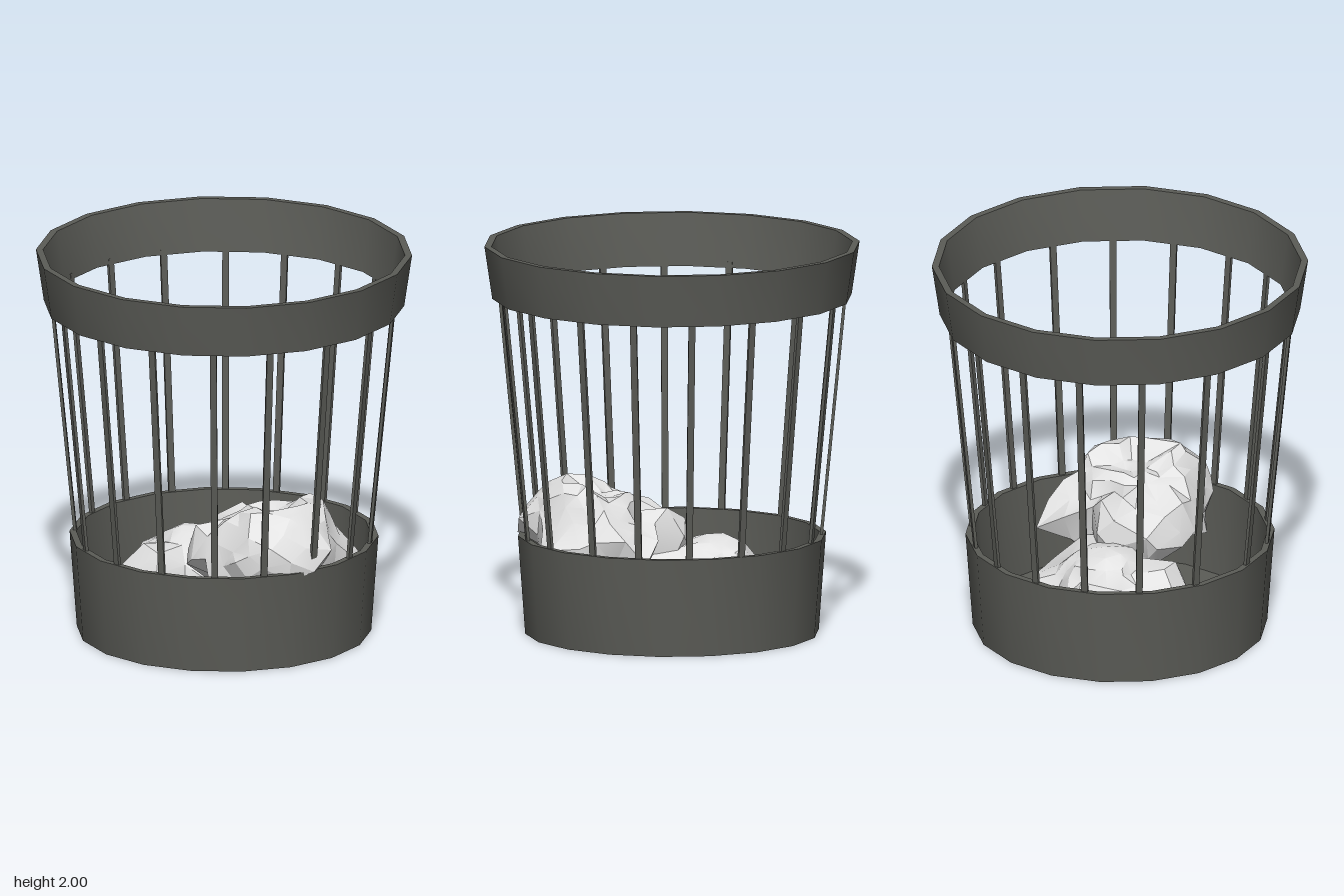
import * as THREE from 'three';
import { mergeVertices, toCreasedNormals } from 'three/addons/utils/BufferGeometryUtils.js';

const SIDES = 18;

// Tapered ring with a wall thickness, smooth around and sharp at its rims
function ring(name, y0, r0, y1, r1, wall, material) {
  const profile = [[r0, y0], [r1, y1], [r1 - wall, y1], [r0 - wall, y0], [r0, y0]]
    .map(([x, y]) => new THREE.Vector2(x, y));
  const mesh = new THREE.Mesh(toCreasedNormals(new THREE.LatheGeometry(profile, SIDES), 0.6), material);
  mesh.name = name;
  return mesh;
}

function seeded(seed) {
  return () => {
    seed = (seed * 16807) % 2147483647;
    return seed / 2147483647;
  };
}

// Crumpled ball: a sphere pulled out to a few corner points, then creased
function crumple(name, centre, corners, top, seed, material) {
  const random = seeded(seed);
  const c = new THREE.Vector3(...centre);
  const pulls = corners.map((p) => {
    const dir = new THREE.Vector3(...p).sub(c);
    const reach = dir.length();
    return { dir: dir.normalize(), reach };
  });
  const folds = Array.from({ length: 5 }, () => ({
    n: new THREE.Vector3(random() - 0.5, random() - 0.5, random() - 0.5).normalize(),
    at: random() - 0.5,
  }));
  let geometry = new THREE.IcosahedronGeometry(1, 3);
  geometry.deleteAttribute('normal');
  geometry.deleteAttribute('uv');
  geometry = mergeVertices(geometry, 1e-3);
  const pos = geometry.attributes.position;
  const v = new THREE.Vector3();
  for (let i = 0; i < pos.count; i++) {
    v.fromBufferAttribute(pos, i);
    v.x += (random() - 0.5) * 0.16;
    v.y += (random() - 0.5) * 0.16;
    v.z += (random() - 0.5) * 0.16;
    v.normalize();
    let sum = 0, total = 0;
    for (const { dir, reach } of pulls) {
      const w = Math.exp(32 * (dir.dot(v) - 1));
      sum += w * reach;
      total += w;
    }
    // Narrow valleys along the folds
    let dent = 0;
    for (const { n, at } of folds) dent += Math.max(0, 0.12 - Math.abs(v.dot(n) - at));
    const r = (sum / total) * (1.02 - 0.8 * dent + (random() - 0.5) * 0.04);
    v.multiplyScalar(r).add(c);
    pos.setXYZ(i, v.x, THREE.MathUtils.clamp(v.y, 0.01, top), v.z);
  }
  const mesh = new THREE.Mesh(toCreasedNormals(geometry, 0.4), material);
  mesh.name = name;
  return mesh;
}

export function createModel() {
  const model = new THREE.Group();
  model.name = 'wasteBasket';
  const binGrey = new THREE.MeshStandardMaterial({ color: 0x5b5c57 });
  binGrey.name = 'dark grey';
  const paperWhite = new THREE.MeshStandardMaterial({ color: 0xe2e2e2, side: THREE.DoubleSide });
  paperWhite.name = 'paper white';

  // Base wall, top rim and floor
  model.add(ring('baseWall', 0, 0.749, 0.505, 0.786, 0.034, binGrey));
  model.add(ring('topRim', 1.73, 0.917, 2, 0.957, 0.036, binGrey));
  const floor = new THREE.Mesh(new THREE.CylinderGeometry(0.72, 0.72, 0.012, SIDES), binGrey);
  floor.name = 'floor';
  floor.position.y = 0.026;
  model.add(floor);

  // Slanted bars, slightly unevenly spaced (degrees from +x towards +z)
  const bars = new THREE.Group();
  bars.name = 'bars';
  const angles = [17, -2, -21.5, -42.5, -62.5, -83.5, -104, -125, -148,
    -175.5, 162.5, 141.5, 120.5, 101.5, 80.5, 60, 39.5];
  const low = new THREE.Vector2(0.756, 0.47), high = new THREE.Vector2(0.882, 1.76);
  const barGeometry = new THREE.BoxGeometry(0.016, low.distanceTo(high), 0.034);
  for (const angle of angles) {
    const pivot = new THREE.Group();
    pivot.name = 'barPivot';
    pivot.rotation.y = -THREE.MathUtils.degToRad(angle);
    const bar = new THREE.Mesh(barGeometry, binGrey);
    bar.name = 'bar';
    bar.position.set((low.x + high.x) / 2, (low.y + high.y) / 2, 0);
    bar.rotation.z = -Math.atan2(high.x - low.x, high.y - low.y);
    pivot.add(bar);
    bars.add(pivot);
  }
  model.add(bars);

  // Lower paper ball, resting on the floor at the back
  model.add(crumple('lowerPaper', [-0.02, 0.22, -0.22], [
    [-0.03, 0.28, -0.64], [0.1, 0.3, -0.42], [-0.3, 0.28, -0.45], [-0.46, 0.28, -0.25],
    [-0.45, 0.26, -0.1], [-0.2, 0.25, 0.0], [0.05, 0.25, 0.1], [0.32, 0.25, 0.05],
    [0.36, 0.25, -0.2], [0.0, 0.5, -0.13], [-0.2, 0.42, -0.33], [0.2, 0.38, -0.2], [-0.02, 0.42, -0.4],
    [0.2, 0, -0.05], [0.12, 0, -0.38], [-0.03, 0, -0.54], [-0.14, 0, -0.36],
    [-0.06, 0, 0.16], [0.03, 0, -0.2], [-0.28, 0.1, -0.15],
  ], 0.5, 11, paperWhite));

  // Loose corner of the lower sheet, curling up from the floor at the back
  const outline = [[0.06, -0.6], [0.2, -0.56], [0.42, -0.36], [0.37, -0.2], [0.2, -0.26], [0.26, -0.38], [0.2, -0.5]];
  const flapGeometry = new THREE.ShapeGeometry(
    new THREE.Shape(outline.map(([x, z]) => new THREE.Vector2(x, z))));
  const fp = flapGeometry.attributes.position;
  for (let i = 0; i < fp.count; i++) {
    const x = fp.getX(i), z = fp.getY(i);
    fp.setXYZ(i, x, 0.04 + 0.25 * (x - 0.05), z);
  }
  flapGeometry.setIndex([...flapGeometry.index.array].reverse());
  flapGeometry.computeVertexNormals();
  const flap = new THREE.Mesh(flapGeometry, paperWhite);
  flap.name = 'paperFlap';
  model.add(flap);

  // Upper paper ball, leaning on the front wall
  model.add(crumple('upperPaper', [0.11, 0.51, 0.36], [
    [-0.33, 0.53, 0.31], [-0.2, 0.45, 0.03], [0.04, 0.47, -0.1], [0.2, 0.45, 0.08],
    [0.47, 0.43, -0.05], [0.47, 0.42, 0.2], [0.53, 0.43, 0.49], [0.31, 0.5, 0.62],
    [0.1, 0.63, 0.78], [-0.05, 0.6, 0.75], [-0.21, 0.5, 0.6], [-0.2, 0.6, 0.42], [0.41, 0.58, 0.42],
    [-0.05, 0.77, 0.62], [0.15, 0.73, 0.6], [0.36, 0.74, 0.44], [0.1, 0.71, 0.36],
    [0.0, 0.68, 0.2], [0.25, 0.62, 0.15],
    [0.1, 0.28, 0.4], [0.3, 0.31, 0.14], [-0.1, 0.34, 0.3], [0.12, 0.38, 0.62], [0.36, 0.36, 0.42],
  ], 0.78, 29, paperWhite));

  return model;
}
